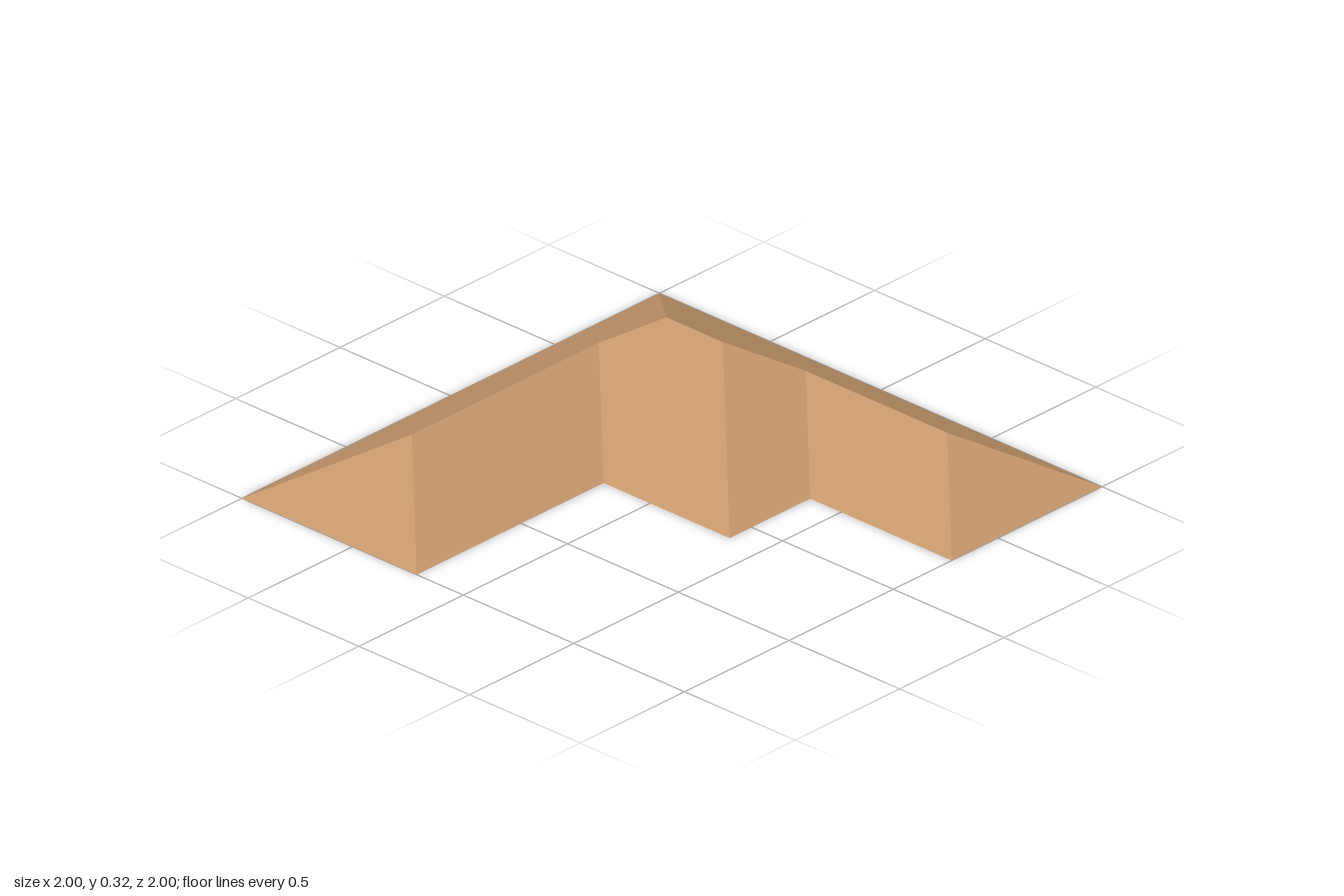
import * as THREE from 'three';

// Hipped roof of constant pitch over a stepped L-shaped plan.
const PITCH = Math.tan(Math.PI / 6);

// Plan corners: [x, z, distance in from the eave]
const P = {
  // eaves
  backRight: [-1, -1, 0], backLeft: [1, -1, 0],
  sideEnd: [1, -0.28, 0], sideInner: [0.36, -0.28, 0],
  mainOuter: [0.36, 0.105, 0], mainInner: [-0.21, 0.105, 0],
  frontInner: [-0.21, 1, 0], frontOuter: [-1, 1, 0],
  // ridge points
  frontHip: [-0.605, 0.605, 0.395], frontRidge: [-0.605, -0.29, 0.395],
  mainHip: [-0.4475, -0.4475, 0.5525], mainRidge: [-0.1925, -0.4475, 0.5525],
  sideRidge: [0, -0.64, 0.36], sideHip: [0.64, -0.64, 0.36],
};

// Each slope is one flat polygon, listed clockwise in plan
const slopes = {
  backSlope: ['backRight', 'backLeft', 'sideHip', 'sideRidge', 'mainRidge', 'mainHip'],
  sideWingHip: ['backLeft', 'sideEnd', 'sideHip'],
  sideWingFrontSlope: ['sideEnd', 'sideInner', 'sideRidge', 'sideHip'],
  mainSideSlope: ['sideInner', 'mainOuter', 'mainRidge', 'sideRidge'],
  mainFrontSlope: ['mainOuter', 'mainInner', 'frontRidge', 'mainHip', 'mainRidge'],
  frontWingInnerSlope: ['mainInner', 'frontInner', 'frontHip', 'frontRidge'],
  frontWingHip: ['frontInner', 'frontOuter', 'frontHip'],
  outerSlope: ['frontOuter', 'backRight', 'mainHip', 'frontRidge', 'frontHip'],
};

function slopeGeometry(names) {
  const pts = names.map((n) => P[n]);
  const plan = pts.map(([x, z]) => new THREE.Vector2(x, z));
  const positions = [];
  for (const [a, b, c] of THREE.ShapeUtils.triangulateShape(plan, [])) {
    // turn every triangle so that it faces up
    const area = (plan[b].x - plan[a].x) * (plan[c].y - plan[a].y)
      - (plan[b].y - plan[a].y) * (plan[c].x - plan[a].x);
    for (const i of area > 0 ? [a, c, b] : [a, b, c]) {
      const [x, z, inset] = pts[i];
      positions.push(x, inset * PITCH, z);
    }
  }
  const g = new THREE.BufferGeometry();
  g.setAttribute('position', new THREE.Float32BufferAttribute(positions, 3));
  g.computeVertexNormals();
  return g;
}

export function createModel() {
  const roof = new THREE.Group();
  roof.name = 'hippedRoof';
  const tan = new THREE.MeshStandardMaterial({ color: 0xc4956a, side: THREE.DoubleSide });
  tan.name = 'roofTan';
  for (const [name, corners] of Object.entries(slopes)) {
    const mesh = new THREE.Mesh(slopeGeometry(corners), tan);
    mesh.name = name;
    roof.add(mesh);
  }
  return roof;
}
